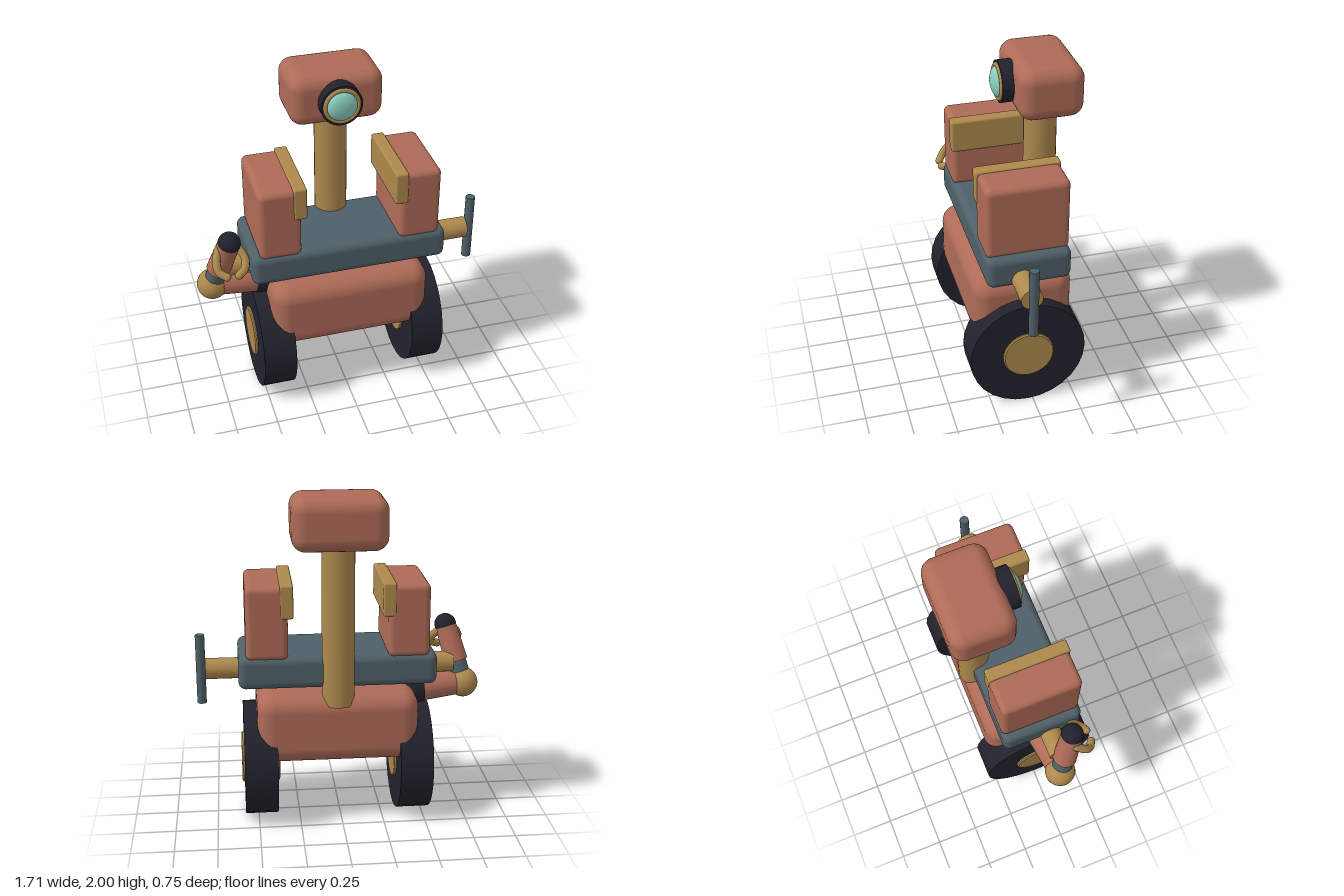
import * as THREE from 'three';
import { RoundedBoxGeometry } from 'three/addons/geometries/RoundedBoxGeometry.js';

const V = (x, y, z) => new THREE.Vector3(x, y, z);

export function createModel() {
  const model = new THREE.Group();
  model.name = 'rover';

  const mat = (name, color) => {
    const m = new THREE.MeshStandardMaterial({ color });
    m.name = name;
    return m;
  };
  const rust = mat('rust', 0xae6b57);
  const brass = mat('brass', 0xad894d);
  const rubber = mat('rubber', 0x22222d);
  const slate = mat('slate', 0x4f6068);
  const glass = mat('glass', 0x88cfc0);

  const add = (name, geometry, material, parent = model) => {
    const mesh = new THREE.Mesh(geometry, material);
    mesh.name = name;
    parent.add(mesh);
    return mesh;
  };
  // rounded box given by its lower and upper corners
  const box = (name, a, b, radius, material) => {
    const size = b.clone().sub(a);
    const mesh = add(name, new RoundedBoxGeometry(size.x, size.y, size.z, 4, radius), material);
    mesh.position.copy(a).add(b).multiplyScalar(0.5);
    return mesh;
  };
  // cylinder or cone running from point a to point b
  const rod = (name, a, b, ra, rb, material, segments = 24) => {
    const dir = b.clone().sub(a);
    const mesh = add(name, new THREE.CylinderGeometry(rb, ra, dir.length(), segments), material);
    mesh.position.copy(a).add(b).multiplyScalar(0.5);
    mesh.quaternion.setFromUnitVectors(V(0, 1, 0), dir.normalize());
    return mesh;
  };
  const ball = (name, p, r, material) => {
    const mesh = add(name, new THREE.SphereGeometry(r, 24, 16), material);
    mesh.position.copy(p);
    return mesh;
  };

  const cx = 0.022; // middle plane of the chassis

  // chassis, deck, mast and head
  box('body', V(-0.455, 0.4, -0.265), V(0.5, 0.822, 0.325), 0.1, rust);
  box('deck', V(-0.56, 0.86, -0.215), V(0.603, 1.055, 0.275), 0.045, slate);
  rod('mast', V(cx, 0.76, -0.185), V(cx, 1.75, -0.185), 0.096, 0.096, brass);
  box('head', V(-0.25, 1.695, -0.372), V(0.293, 2.0, 0), 0.08, rust);

  // camera eye
  rod('eyeBarrel', V(cx, 1.85, -0.03), V(cx, 1.85, 0.064), 0.121, 0.121, rubber, 32);
  const ring = add('eyeRing', new THREE.TorusGeometry(0.096, 0.013, 10, 32), brass);
  ring.position.set(cx, 1.85, 0.064);
  const lens = add('eyeLens', new THREE.SphereGeometry(0.09, 28, 10, 0, Math.PI * 2, 0, Math.PI / 2), glass);
  lens.rotation.x = Math.PI / 2;
  lens.scale.y = 0.5;
  lens.position.set(cx, 1.85, 0.061);

  // mirrored wheels, cargo boxes and their inner plates
  for (const [side, s] of [['left', 1], ['right', -1]]) {
    const span = (name, inner, outer, y0, y1, z0, z1, r, m) => {
      const x0 = cx + s * inner, x1 = cx + s * outer;
      box(name, V(Math.min(x0, x1), y0, z0), V(Math.max(x0, x1), y1, z1), r, m);
    };
    const axle = (d) => V(cx + s * d, 0.346, 0.03);
    rod(side + 'Wheel', axle(0.362), axle(0.558), 0.346, 0.346, rubber, 28);
    rod(side + 'Hub', axle(0.35), axle(0.566), 0.153, 0.153, brass, 28);
    rod(side + 'HubCap', axle(0.566), axle(0.573), 0.153, 0.145, brass, 28);
    rod(side + 'HubInnerCap', axle(0.35), axle(0.345), 0.153, 0.145, brass, 28);
    span(side + 'CargoBox', 0.29, 0.535, 1.035, 1.473, -0.21, 0.27, 0.035, rust);
    span(side + 'CargoPlate', 0.258, 0.335, 1.285, 1.483, -0.213, 0.277, 0.012, brass);
  }

  // crossbar with an upright handle at its left end
  rod('crossbar', V(-0.7, 0.907, 0.075), V(0.797, 0.907, 0.075), 0.063, 0.063, brass);
  rod('handle', V(0.825, 0.693, 0.075), V(0.825, 1.12, 0.075), 0.028, 0.028, slate, 16);

  // right arm
  const shoulder = V(-0.35, 0.752, 0.03);
  const elbow = V(-0.767, 0.777, 0.055);
  const tip = V(-0.668, 1.12, 0.155);
  const along = (t) => elbow.clone().lerp(tip, t);
  rod('shoulder', shoulder, V(-0.51, 0.764, 0.038), 0.105, 0.095, rubber);
  rod('upperArm', V(-0.45, 0.757, 0.035), elbow, 0.09, 0.07, rust);
  ball('elbow', elbow, 0.091, brass);
  rod('wrist', along(0.1), along(0.42), 0.06, 0.06, slate);
  rod('forearm', along(0.37), along(1), 0.071, 0.064, rust);
  ball('armTip', tip, 0.066, rubber);

  // curved pincer fingers with rounded ends
  const fingers = [
    [V(-0.735, 1.08, 0.15), V(-0.757, 1.03, 0.205), V(-0.747, 0.985, 0.24), V(-0.71, 0.965, 0.265)],
    [V(-0.62, 1.08, 0.15), V(-0.59, 1.03, 0.195), V(-0.6, 0.985, 0.235), V(-0.64, 0.965, 0.265)],
  ];
  fingers.forEach((points, i) => {
    const name = i ? 'innerFinger' : 'outerFinger';
    add(name, new THREE.TubeGeometry(new THREE.CatmullRomCurve3(points), 14, 0.024, 10), brass);
    ball(name + 'Base', points[0], 0.024, brass);
    ball(name + 'Tip', points[3], 0.024, brass);
  });

  return model;
}
